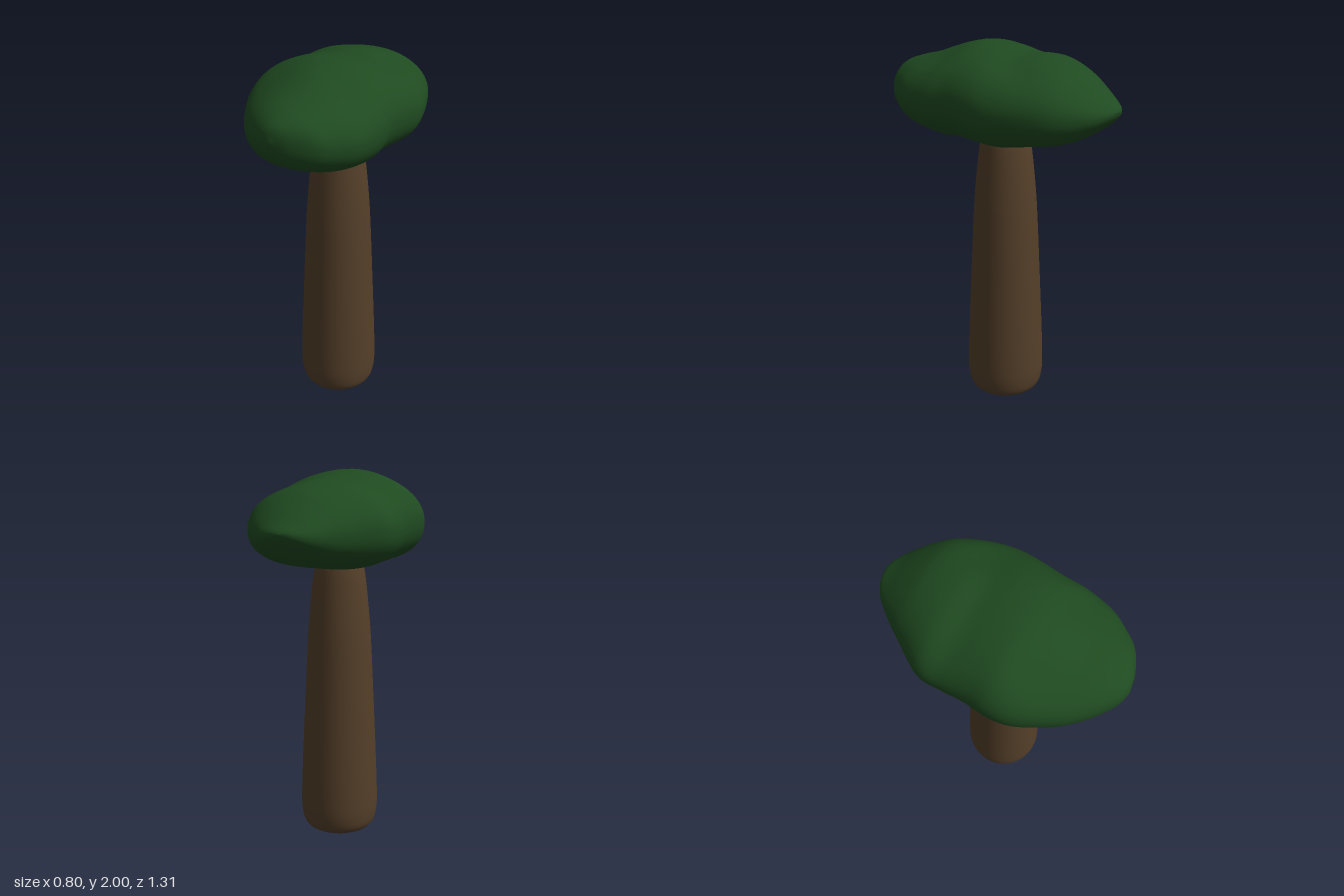
import * as THREE from 'three';
import { mergeVertices } from 'three/addons/utils/BufferGeometryUtils.js';

// Canopy sections, back to front: z, left x, right x, bottom y, top y
const SECTIONS = [
  [-0.656, 0, 0, 1.735, 1.735],
  [-0.64, -0.07, 0.07, 1.70, 1.755],
  [-0.59, -0.145, 0.155, 1.65, 1.79],
  [-0.5, -0.22, 0.25, 1.59, 1.86],
  [-0.4, -0.29, 0.318, 1.55, 1.92],
  [-0.25, -0.385, 0.375, 1.52, 1.96],
  [-0.12, -0.39, 0.4, 1.5, 1.965],
  [0, -0.39, 0.388, 1.5, 1.99],
  [0.13, -0.404, 0.37, 1.505, 2.0],
  [0.25, -0.383, 0.37, 1.505, 1.975],
  [0.4, -0.305, 0.34, 1.54, 1.92],
  [0.5, -0.23, 0.28, 1.575, 1.893],
  [0.58, -0.145, 0.21, 1.62, 1.865],
  [0.635, -0.065, 0.1, 1.68, 1.825],
  [0.656, 0, 0, 1.76, 1.76],
];

function spline(pick) {
  const pts = SECTIONS.map((s) => new THREE.Vector3(...pick(s)));
  return new THREE.CatmullRomCurve3(pts, false, 'catmullrom', 0.5);
}

// Smooth, lopsided blob lofted through the sections
function canopyGeometry() {
  const rings = 84, sides = 64;
  const plan = spline((s) => [s[0], s[1], s[2]]);
  const side = spline((s) => [s[3], s[4], 0]);
  const pos = [], index = [];
  const power = (v, e) => Math.sign(v) * Math.pow(Math.abs(v), e);
  for (let i = 0; i <= rings; i++) {
    const p = plan.getPoint(i / rings), h = side.getPoint(i / rings);
    const mid = THREE.MathUtils.lerp(h.x, h.y, 0.47);
    for (let j = 0; j < sides; j++) {
      const a = (j / sides) * Math.PI * 2;
      const c = Math.cos(a), s = Math.sin(a);
      const e = s < 0 ? 0.85 : 1; // fuller underside
      const cx = (p.y + p.z) / 2, rx = (p.z - p.y) / 2;
      const x = cx + rx * power(c, e);
      let y = mid + (s > 0 ? h.y - mid : mid - h.x) * power(s, e);
      // shallow hollows on the upper surface
      if (s > 0) {
        const dent = (dx, dz, r) => Math.exp(-((x - dx) ** 2 + (p.x - dz) ** 2) / (r * r));
        y -= s * (0.025 * dent(0.22, -0.22, 0.1) + 0.02 * dent(-0.22, 0.27, 0.12) + 0.02 * dent(0.2, 0.27, 0.1));
      }
      pos.push(x, y, p.x);
      if (i < rings) {
        const k = (j + 1) % sides, A = i * sides + j, B = i * sides + k;
        index.push(A, B, A + sides, B, B + sides, A + sides);
      }
    }
  }
  let g = new THREE.BufferGeometry();
  g.setAttribute('position', new THREE.Float32BufferAttribute(pos, 3));
  g.setIndex(index);
  g = mergeVertices(g, 1e-5);
  g.computeVertexNormals();
  return g;
}

// Tapering trunk with a rounded foot
function trunkGeometry() {
  const profile = [
    [0, 0], [0.09, 0.006], [0.16, 0.02], [0.195, 0.05], [0.21, 0.11], [0.213, 0.2],
    [0.205, 0.42], [0.187, 0.8], [0.174, 1.06], [0.163, 1.22], [0.145, 1.4],
    [0.128, 1.51], [0.1, 1.58], [0, 1.62],
  ].map(([r, y]) => new THREE.Vector2(r, y));
  const pts = new THREE.SplineCurve(profile).getPoints(52);
  pts.forEach((p) => { p.x = Math.max(p.x, 0); p.y = Math.max(p.y, 0); });
  return new THREE.LatheGeometry(pts, 48);
}

export function createModel() {
  const tree = new THREE.Group();
  tree.name = 'tree';
  const add = (name, geometry, color) => {
    const mesh = new THREE.Mesh(geometry, new THREE.MeshStandardMaterial({ color }));
    mesh.name = name;
    tree.add(mesh);
  };
  add('trunk', trunkGeometry(), 0x543f29);
  add('canopy', canopyGeometry(), 0x1f4a20);
  return tree;
}
